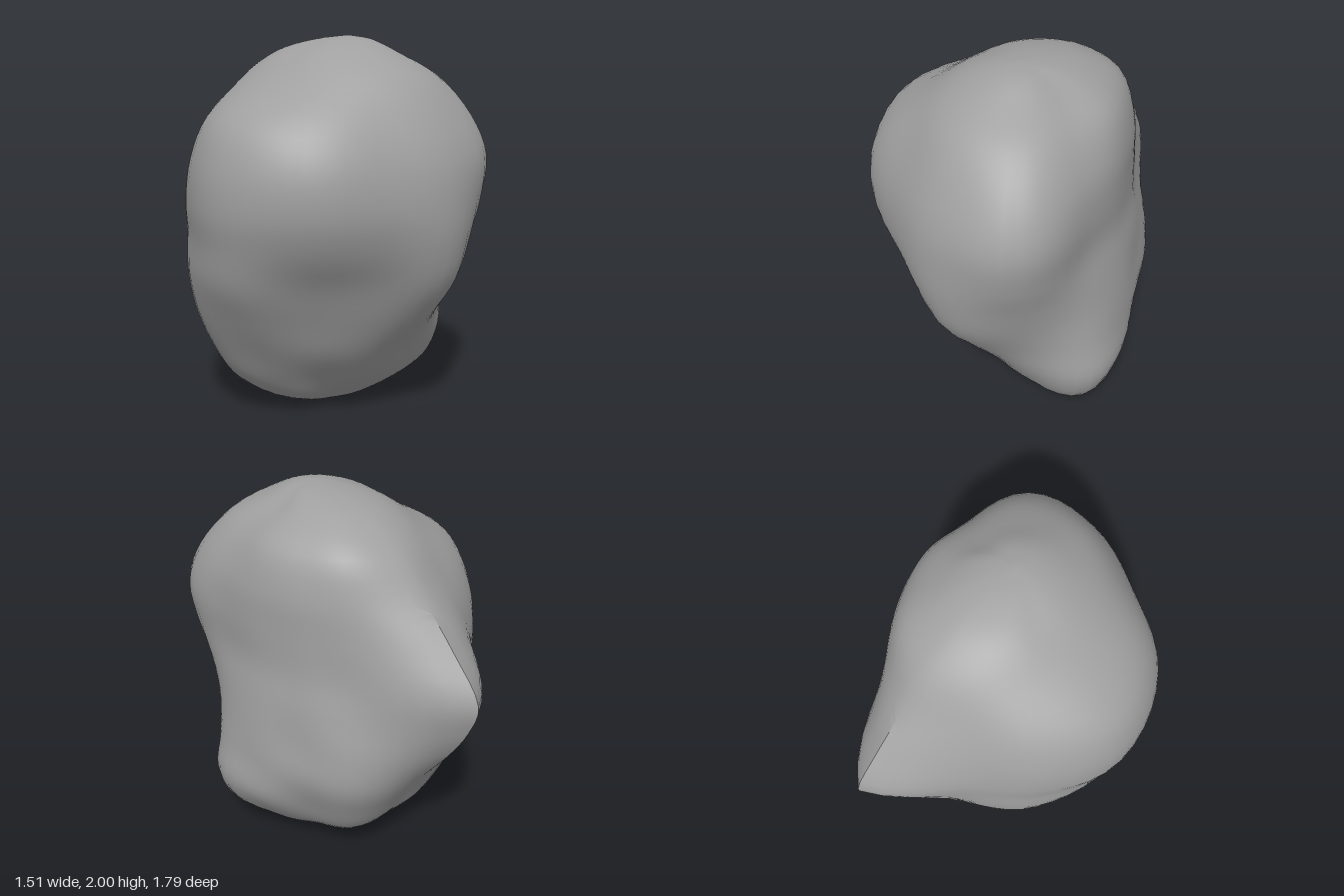
import * as THREE from 'three';
import { toCreasedNormals } from 'three/addons/utils/BufferGeometryUtils.js';

// Height, then 12 radii around an off-centre vertical axis, 30 degrees apart
const LEVELS = [
  [0.09, 0.39, 0.27, 0.19, 0.17, 0.19, 0.29, 0.37, 0.34, 0.30, 0.32, 0.30, 0.35],
  [0.22, 0.60, 0.43, 0.33, 0.30, 0.31, 0.42, 0.55, 0.51, 0.46, 0.49, 0.43, 0.48],
  [0.40, 0.67, 0.54, 0.46, 0.44, 0.46, 0.55, 0.66, 0.62, 0.57, 0.60, 0.52, 0.59],
  [0.60, 0.64, 0.60, 0.62, 0.55, 0.56, 0.68, 0.74, 0.70, 0.70, 0.69, 0.58, 0.58],
  [0.80, 0.61, 0.66, 0.75, 0.64, 0.66, 0.79, 0.78, 0.74, 0.85, 0.70, 0.56, 0.56],
  [1.00, 0.59, 0.72, 0.80, 0.73, 0.78, 0.84, 0.78, 0.76, 0.97, 0.66, 0.54, 0.53],
  [1.18, 0.57, 0.78, 0.81, 0.77, 0.84, 0.87, 0.79, 0.76, 1.02, 0.62, 0.51, 0.50],
  [1.40, 0.58, 0.81, 0.79, 0.75, 0.83, 0.85, 0.76, 0.70, 0.85, 0.59, 0.50, 0.50],
  [1.60, 0.55, 0.73, 0.71, 0.67, 0.73, 0.76, 0.67, 0.60, 0.66, 0.55, 0.49, 0.49],
  [1.80, 0.43, 0.55, 0.57, 0.53, 0.50, 0.46, 0.44, 0.45, 0.49, 0.47, 0.42, 0.42],
  [1.92, 0.25, 0.33, 0.38, 0.36, 0.32, 0.27, 0.27, 0.28, 0.30, 0.29, 0.26, 0.25],
];
const SIDES = 12, STEPS = 5, ROWS = 56, AXIS = 0.1, START = 17, RIDGE = 8;

// Smooth radius around one level, with a sharp kink at the back ridge
function radiusAt(level, i, t) {
  const r = (k) => level[1 + ((k + SIDES) % SIDES)];
  const a = r(i), b = r(i + 1);
  const out = i === RIDGE ? b - a : (b - r(i - 1)) / 2;
  const into = i + 1 === RIDGE ? b - a : (r(i + 2) - a) / 2;
  const t2 = t * t, t3 = t2 * t;
  return a * (2 * t3 - 3 * t2 + 1) + out * (t3 - 2 * t2 + t) + b * (3 * t2 - 2 * t3) + into * (t3 - t2);
}

// One vertical curve of the surface, closed at both poles
function column(k) {
  const i = Math.floor(k / STEPS), t = (k % STEPS) / STEPS;
  const angle = THREE.MathUtils.degToRad(START + (k * 360) / (SIDES * STEPS));
  const ring = (level, y, s, x, z) => {
    const r = radiusAt(level, i, t) * s;
    return new THREE.Vector3(x + r * Math.cos(angle), y, z + r * Math.sin(angle));
  };
  const first = LEVELS[0], last = LEVELS[LEVELS.length - 1];
  return new THREE.CatmullRomCurve3([
    new THREE.Vector3(0.14, 0, 0.1),
    ring(first, 0.02, 0.45, 0.12, AXIS),
    ...LEVELS.map((l) => ring(l, l[0], 1, AXIS, AXIS)),
    ring(last, 1.98, 0.47, 0.12, 0.16),
    new THREE.Vector3(0.12, 2, 0.22),
  ]);
}

function stoneGeometry() {
  const n = SIDES * STEPS, pos = [], index = [];
  for (let k = 0; k < n; k++) {
    const curve = column(k);
    for (let j = 0; j <= ROWS; j++) pos.push(...curve.getPoint(j / ROWS).toArray());
  }
  const at = (k, j) => (k % n) * (ROWS + 1) + j;
  for (let k = 0; k < n; k++) {
    for (let j = 0; j < ROWS; j++) {
      const a = at(k, j), b = at(k, j + 1), c = at(k + 1, j + 1), d = at(k + 1, j);
      if (j < ROWS - 1) index.push(a, b, c);
      if (j > 0) index.push(a, c, d);
    }
  }
  const geometry = new THREE.BufferGeometry();
  geometry.setAttribute('position', new THREE.Float32BufferAttribute(pos, 3));
  geometry.setIndex(index);
  return toCreasedNormals(geometry, THREE.MathUtils.degToRad(32));
}

export function createModel() {
  const group = new THREE.Group();
  group.name = 'rock';
  const stone = new THREE.Mesh(stoneGeometry(), new THREE.MeshStandardMaterial({ color: 0xa0a0a0 }));
  stone.name = 'boulder';
  group.add(stone);
  return group;
}
